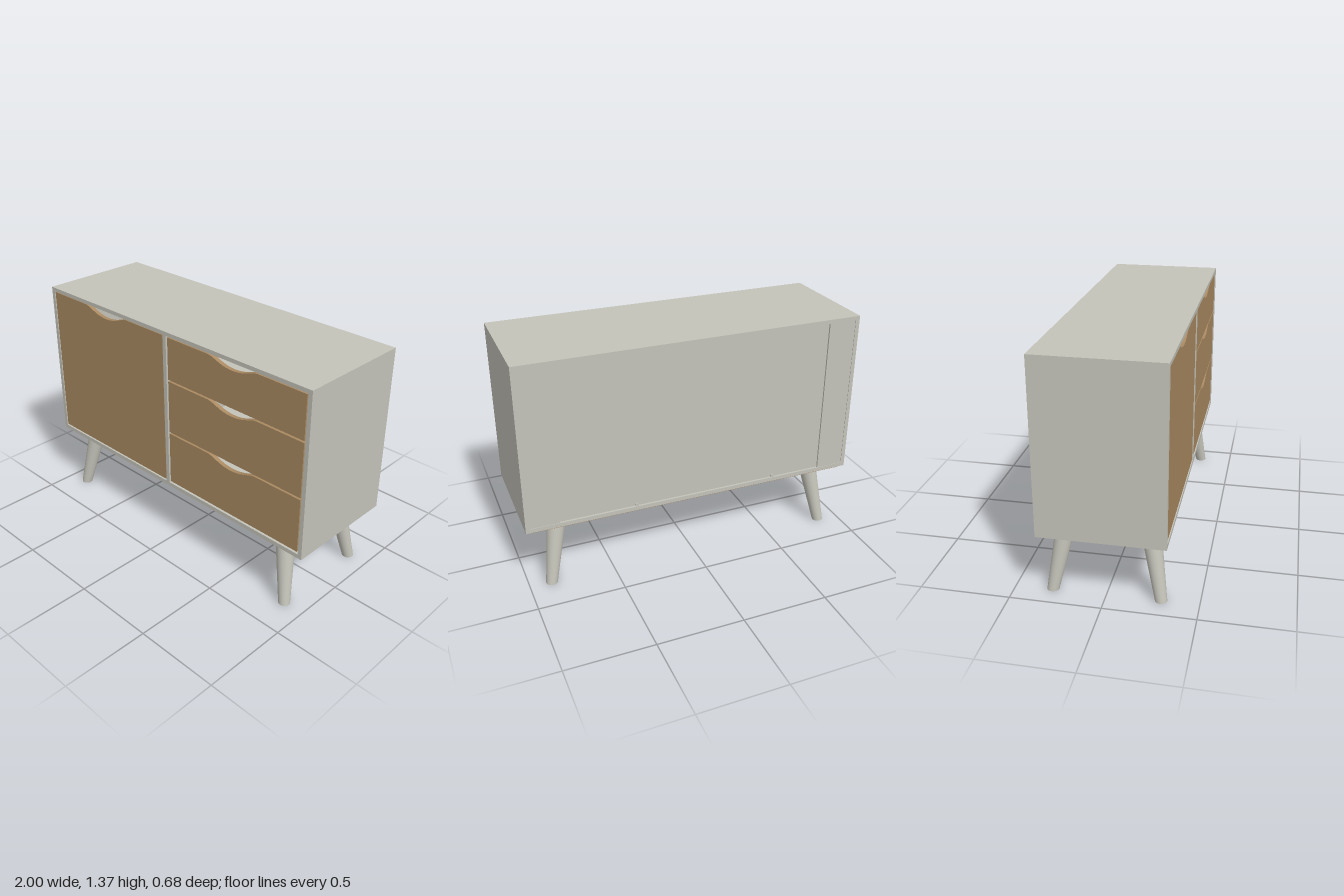
import * as THREE from 'three';

const mat = (name, color) => {
  const m = new THREE.MeshStandardMaterial({ color });
  m.name = name;
  return m;
};

export function createModel() {
  const grey = mat('warm grey', 0xc4c3b9);
  const wood = mat('oak brown', 0xaa8a62);
  const black = mat('black metal', 0x0c0c0c);
  const model = new THREE.Group();
  model.name = 'sideboard';

  const add = (name, geo, material, parent = model) => {
    const mesh = new THREE.Mesh(geo, material);
    mesh.name = name;
    parent.add(mesh);
    return mesh;
  };
  // Box given by its limits on each axis
  const box = (name, material, [x0, x1], [y0, y1], [z0, z1], parent = model) => {
    const mesh = add(name, new THREE.BoxGeometry(x1 - x0, y1 - y0, z1 - z0), material, parent);
    mesh.position.set((x0 + x1) / 2, (y0 + y1) / 2, (z0 + z1) / 2);
    return mesh;
  };

  // Carcass
  const W = 1, D = 0.34, T = 0.024;
  const floor = 0.413, ceil = 1.342;
  box('topPanel', grey, [-W, W], [ceil, 1.365], [-D, D]);
  box('bottomPanel', grey, [-W, W], [0.389, floor], [-D, D]);
  for (const s of [-1, 1]) {
    const c = s * (W - T / 2);
    box('sidePanel', grey, [c - T / 2, c + T / 2], [floor, ceil], [-D, D]);
    const b = s * 0.893;
    box('backStile', grey, [b - 0.083, b + 0.083], [floor, ceil], [-D + 0.003, -D + 0.022]);
  }
  box('divider', grey, [-0.012, 0.012], [floor, ceil], [-D + 0.022, D]);
  box('backPanel', grey, [-0.82, 0.82], [floor, ceil], [-D + 0.013, -D + 0.023]);

  // Small clips along the lower back edge
  for (const x of [0.36, -0.5]) {
    const clip = add('backClip', new THREE.CylinderGeometry(0.01, 0.01, 0.012, 12), grey);
    clip.rotation.x = Math.PI / 2;
    clip.position.set(x, floor + 0.008, -D + 0.008);
  }

  // Front panel with a curved finger scoop in its top edge
  const scoopFront = (name, x0, x1, y0, y1, half, depth, parent = model) => {
    const c = (x0 + x1) / 2;
    const shape = new THREE.Shape();
    shape.moveTo(x0, y0);
    shape.lineTo(x1, y0);
    shape.lineTo(x1, y1);
    shape.lineTo(c + half, y1);
    shape.bezierCurveTo(c + half * 0.72, y1 - depth * 0.1, c + half * 0.5, y1 - depth, c, y1 - depth);
    shape.bezierCurveTo(c - half * 0.5, y1 - depth, c - half * 0.72, y1 - depth * 0.1, c - half, y1);
    shape.lineTo(x0, y1);
    shape.closePath();
    const geo = new THREE.ExtrudeGeometry(shape, { depth: T, bevelEnabled: false, curveSegments: 16 });
    add(name, geo, wood, parent).position.z = D - 0.004 - T;
  };

  scoopFront('door', -0.974, -0.018, 0.42, 1.337, 0.18, 0.043);

  // Drawers with open boxes behind their fronts
  for (const [y0, y1] of [[0.423, 0.744], [0.755, 1.073], [1.084, 1.334]]) {
    const drawer = new THREE.Group();
    drawer.name = 'drawer';
    model.add(drawer);
    scoopFront('drawerFront', 0.02, 0.967, y0, y1, 0.17, 0.038, drawer);
    const top = y1 - 0.06, z0 = -0.29, z1 = D - 0.004 - T;
    box('drawerBottom', grey, [0.045, 0.945], [y0 + 0.02, y0 + 0.03], [z0, z1], drawer);
    box('drawerBack', grey, [0.045, 0.945], [y0 + 0.03, top], [z0, z0 + 0.02], drawer);
    for (const x of [0.045, 0.925]) {
      box('drawerSide', grey, [x, x + 0.02], [y0 + 0.03, top], [z0 + 0.02, z1], drawer);
    }
  }

  // Base frame: long rails with chamfered ends and outer edge, and cross rails
  const railTop = 0.389, railBottom = 0.365;
  for (const s of [-1, 1]) {
    let geo = new THREE.BoxGeometry(1.92, railTop - railBottom, 0.085, 1, 2, 1);
    const p = geo.attributes.position;
    for (let i = 0; i < p.count; i++) {
      if (p.getY(i) > -0.01) continue;
      p.setX(i, p.getX(i) - Math.sign(p.getX(i)) * 0.025);
      if (p.getZ(i) * s > 0) p.setZ(i, p.getZ(i) - s * 0.022);
    }
    geo = geo.toNonIndexed();
    geo.computeVertexNormals();
    add('longRail', geo, wood).position.set(0, (railTop + railBottom) / 2, s * 0.2825);
    box('crossRail', wood, [s * 0.808 - 0.042, s * 0.808 + 0.042], [railBottom, railTop], [-0.24, 0.24]);
  }

  // Splayed tapering legs with mounting plates
  const legTop = 0.359;
  for (const sx of [-1, 1]) {
    for (const sz of [-1, 1]) {
      const px = sx * 0.808, pz = sz * 0.213;
      box('legPlate', black, [px - 0.073, px + 0.073], [legTop, railBottom], [pz - 0.073, pz + 0.073]);
      const geo = new THREE.CylinderGeometry(0.054, 0.033, legTop, 32);
      const shear = new THREE.Matrix4().set(
        1, -sx * 0.18, 0, 0,
        0, 1, 0, 0,
        0, -sz * 0.18, 1, 0,
        0, 0, 0, 1);
      geo.applyMatrix4(shear);
      add('leg', geo, grey).position.set(sx * 0.84, legTop / 2, sz * 0.262);
    }
  }
  return model;
}
